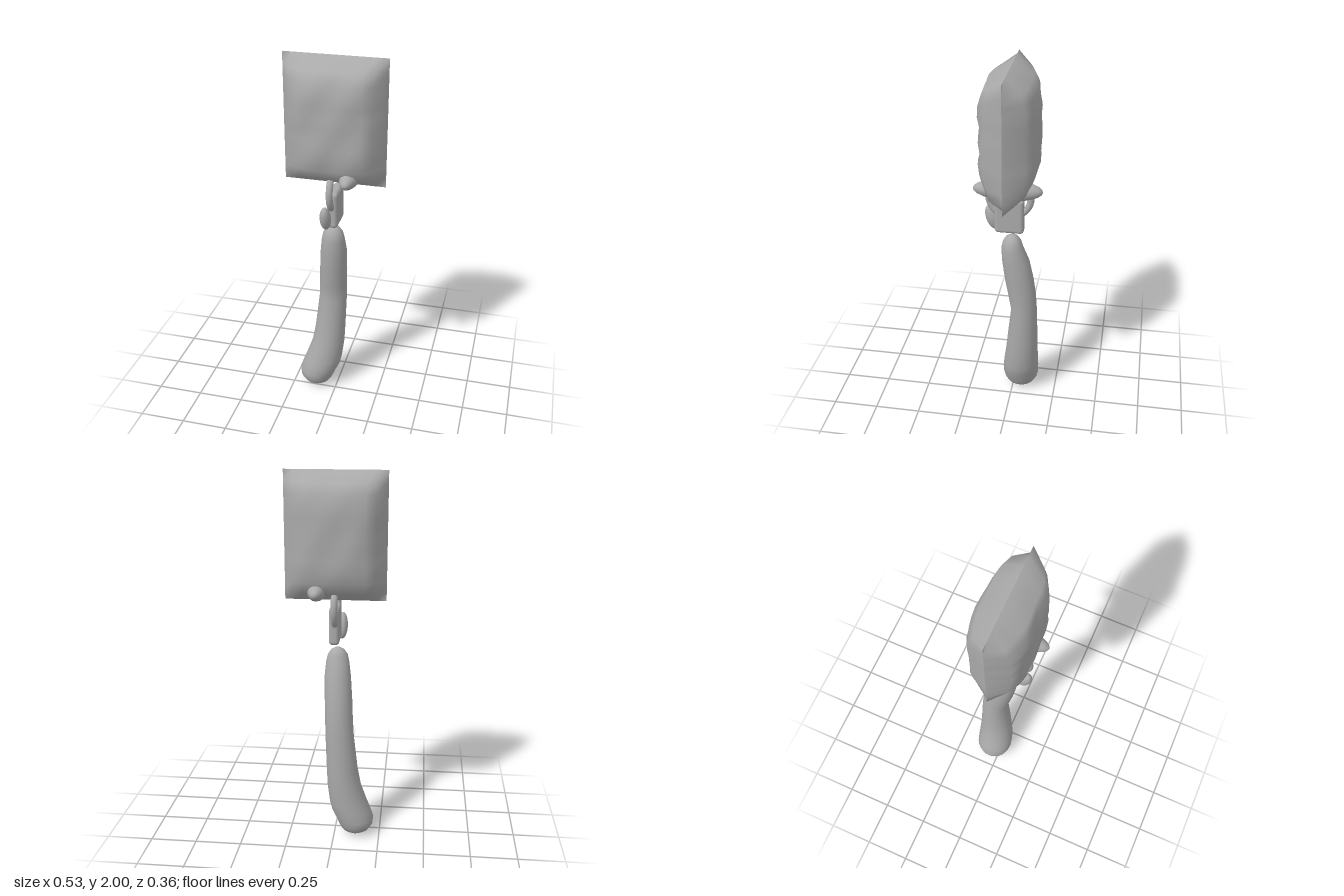
import * as THREE from 'three';
import { RoundedBoxGeometry } from 'three/addons/geometries/RoundedBoxGeometry.js';

export function createModel() {
  const group = new THREE.Group();
  const grey = new THREE.MeshStandardMaterial({ color: 0xaaaaaa });
  grey.name = 'grey';

  const add = (name, geometry, x = 0, y = 0, z = 0) => {
    const mesh = new THREE.Mesh(geometry, grey);
    mesh.name = name;
    mesh.position.set(x, y, z);
    group.add(mesh);
    return mesh;
  };

  // Puffy pad: two bulged sheets that meet at a sharp rim, with soft wrinkles
  const W = 0.53, H = 0.665;
  const swell = (d) => {
    const stops = [0, 0.72, 0.9, 0.98, 1];
    const t = Math.min(Math.max(d, 0) / 0.054, 3.999), i = Math.floor(t);
    return THREE.MathUtils.lerp(stops[i], stops[i + 1], t - i);
  };
  const padSide = (phase, wrinkle) => {
    const g = new THREE.PlaneGeometry(W, H, 10, 12);
    const p = g.attributes.position;
    for (let i = 0; i < p.count; i++) {
      const x = p.getX(i), y = p.getY(i);
      const puff = swell(W / 2 - Math.abs(x)) * swell(H / 2 - Math.abs(y));
      const bumps = 0.6 * Math.sin(y * 48 + x * 7 + phase) + 0.4 * Math.sin(x * 29 - y * 17 + phase * 2);
      p.setZ(i, puff * (0.145 + wrinkle * bumps));
    }
    g.computeVertexNormals();
    return g;
  };
  add('padFront', padSide(0.6, 0.011), 0, 1.6675, 0);
  add('padBack', padSide(2.1, 0.007), 0, 1.6675, 0).rotation.y = Math.PI;

  // Pin through the lower corner of the pad, showing as a knob on both sides
  const pin = new THREE.SphereGeometry(1, 16, 12);
  pin.rotateX(Math.PI / 2);
  pin.scale(0.055, 0.055, 0.178);
  add('cornerPin', pin, 0.09, 1.395, 0);

  // Ring linking the pad to the clasp
  const ring = new THREE.TorusGeometry(0.111, 0.018, 12, 40);
  ring.rotateY(Math.PI / 2);
  add('ring', ring, -0.002, 1.308, 0.005);

  // Clasp block
  add('clasp', new RoundedBoxGeometry(0.055, 0.2, 0.155, 4, 0.02), 0.003, 1.205, 0.006);

  // Small leaning lever beside the clasp
  const lever = new THREE.SphereGeometry(1, 20, 14);
  lever.scale(0.029, 0.072, 0.036);
  add('lever', lever, -0.027, 1.17, 0.1).rotation.x = 0.32;

  // Curved handle: [y, centre x, radius x, centre z, radius z]
  const sections = [
    [0.005, -0.115, 0.001, -0.045, 0.001], [0.012, -0.115, 0.04, -0.045, 0.042],
    [0.035, -0.117, 0.075, -0.045, 0.078], [0.065, -0.118, 0.094, -0.045, 0.096],
    [0.1, -0.113, 0.103, -0.045, 0.103], [0.15, -0.093, 0.107, -0.047, 0.103],
    [0.2, -0.077, 0.103, -0.05, 0.1], [0.3, -0.054, 0.092, -0.057, 0.092],
    [0.4, -0.043, 0.085, -0.062, 0.086], [0.6, -0.029, 0.077, -0.071, 0.072],
    [0.7, -0.024, 0.075, -0.06, 0.077], [0.8, -0.02, 0.074, -0.045, 0.079],
    [0.92, -0.014, 0.071, -0.026, 0.074], [1.0, -0.012, 0.062, -0.008, 0.06],
    [1.04, -0.012, 0.053, -0.006, 0.05], [1.065, -0.012, 0.036, -0.006, 0.035],
    [1.077, -0.012, 0.018, -0.006, 0.018], [1.08, -0.012, 0.001, -0.006, 0.001],
  ];
  const sides = 28, positions = [], index = [];
  for (const [y, cx, rx, cz, rz] of sections) {
    for (let j = 0; j < sides; j++) {
      const a = (j / sides) * Math.PI * 2;
      positions.push(cx + rx * Math.sin(a), y, cz + rz * Math.cos(a));
    }
  }
  for (let i = 0; i < sections.length - 1; i++) {
    for (let j = 0; j < sides; j++) {
      const k = (j + 1) % sides;
      const a = i * sides + j, b = i * sides + k, c = a + sides, d = b + sides;
      index.push(a, b, d, a, d, c);
    }
  }
  const handle = new THREE.BufferGeometry();
  handle.setAttribute('position', new THREE.Float32BufferAttribute(positions, 3));
  handle.setIndex(index);
  handle.computeVertexNormals();
  add('handle', handle);

  return group;
}
